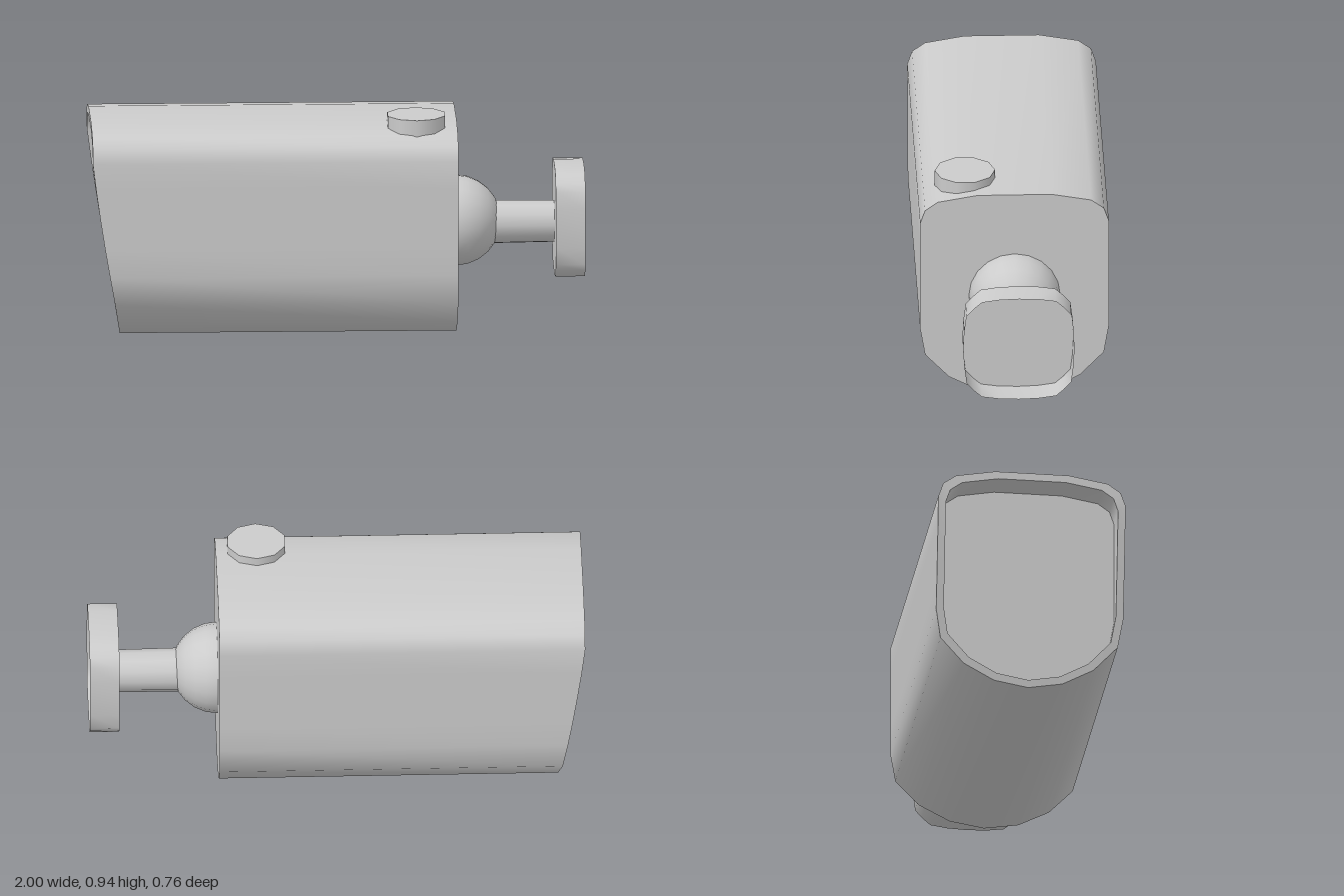
import * as THREE from 'three';

const material = new THREE.MeshStandardMaterial({ color: 0xcccccc, side: THREE.DoubleSide });

// Closed ring mirrored from a half outline of [z, y] points listed bottom to top
function makeRing(half, xOf) {
  const other = half.filter(([z]) => z > 0).reverse();
  const all = [...half.map(([z, y]) => [-z, y]), ...other];
  return all.map(([z, y]) => new THREE.Vector3(typeof xOf === 'function' ? xOf(y) : xOf, y, z));
}

function build(points, index) {
  const geometry = new THREE.BufferGeometry().setFromPoints(points);
  geometry.setIndex(index);
  geometry.computeVertexNormals();
  return geometry;
}

// Smooth strip between two rings
function loft(a, b) {
  const n = a.length;
  const index = [];
  for (let i = 0; i < n; i++) {
    const j = (i + 1) % n;
    index.push(i, j, n + j, i, n + j, n + i);
  }
  return build([...a, ...b], index);
}

// Flat fan closing a ring
function cap(ring, facesPlusX) {
  const n = ring.length;
  const centre = ring.reduce((s, p) => s.add(p), new THREE.Vector3()).divideScalar(n);
  const index = [];
  for (let i = 0; i < n; i++) {
    const j = (i + 1) % n;
    index.push(n, facesPlusX ? i : j, facesPlusX ? j : i);
  }
  return build([...ring, centre], index);
}

export function createModel() {
  const model = new THREE.Group();
  const add = (name, geometry, parent = model) => {
    const mesh = new THREE.Mesh(geometry, material);
    mesh.name = name;
    parent.add(mesh);
    return mesh;
  };

  // Housing: rounded section with a slanted, curved front edge
  const section = [
    [0, 0], [0.14, 0.023], [0.265, 0.087], [0.362, 0.188], [0.382, 0.305],
    [0.382, 0.42], [0.382, 0.54], [0.382, 0.66], [0.382, 0.778],
    [0.362, 0.835], [0.31, 0.872], [0.15, 0.9],
  ];
  const slant = [[0, -0.88], [0.19, -0.91], [0.4, -0.947], [0.6, -0.978], [0.77, -1], [1, -1]];
  const frontX = (y) => {
    const k = Math.max(1, slant.findIndex(([h]) => h >= y));
    const [y0, x0] = slant[k - 1];
    const [y1, x1] = slant[k];
    return x0 + ((x1 - x0) * (y - y0)) / (y1 - y0);
  };
  const inset = section.map(([z, y]) => [z * 0.92, 0.45 + (y - 0.45) * 0.93]);

  const housing = new THREE.Group();
  housing.name = 'housing';
  model.add(housing);
  const outerFront = makeRing(section, frontX);
  const outerBack = makeRing(section, 0.48);
  const innerFront = makeRing(inset, frontX);
  const innerBack = makeRing(inset, -0.87);
  add('shell', loft(outerFront, outerBack), housing);
  add('backWall', cap(outerBack, true), housing);
  add('frontRim', loft(innerFront, outerFront), housing);
  add('recessWall', loft(innerBack, innerFront), housing);
  add('frontPanel', cap(innerBack, false), housing);

  // Round knob on the top
  const knob = add('topKnob', new THREE.CylinderGeometry(0.122, 0.122, 0.115, 10));
  knob.position.set(0.315, 0.8775, 0.195);

  // Ball joint: half sphere on the back wall
  const ball = add('ballJoint', new THREE.SphereGeometry(0.185, 20, 6, 0, Math.PI * 2, 0, Math.PI / 2));
  ball.rotation.z = -Math.PI / 2;
  ball.position.set(0.48, 0.45, 0);

  // Mounting arm
  const arm = add('mountArm', new THREE.CylinderGeometry(0.086, 0.09, 0.27, 12, 1, true));
  arm.rotation.z = -Math.PI / 2;
  arm.position.set(0.745, 0.442, 0);

  // Wall plate: shallow rounded-square cup, open at the back
  const quarter = [[0.08, 0.222], [0.15, 0.212], [0.185, 0.181], [0.212, 0.15], [0.221, 0.08]];
  const plateHalf = [
    [0, -0.225], ...quarter.map(([z, y]) => [z, -y]), [0.225, 0],
    ...[...quarter].reverse(), [0, 0.225],
  ].map(([z, y]) => [z, y + 0.458]);
  const plateFront = makeRing(plateHalf, 0.88);
  const plate = new THREE.Group();
  plate.name = 'wallPlate';
  model.add(plate);
  add('plateFace', cap(plateFront, false), plate);
  add('plateSkirt', loft(plateFront, makeRing(plateHalf, 1)), plate);

  return model;
}
